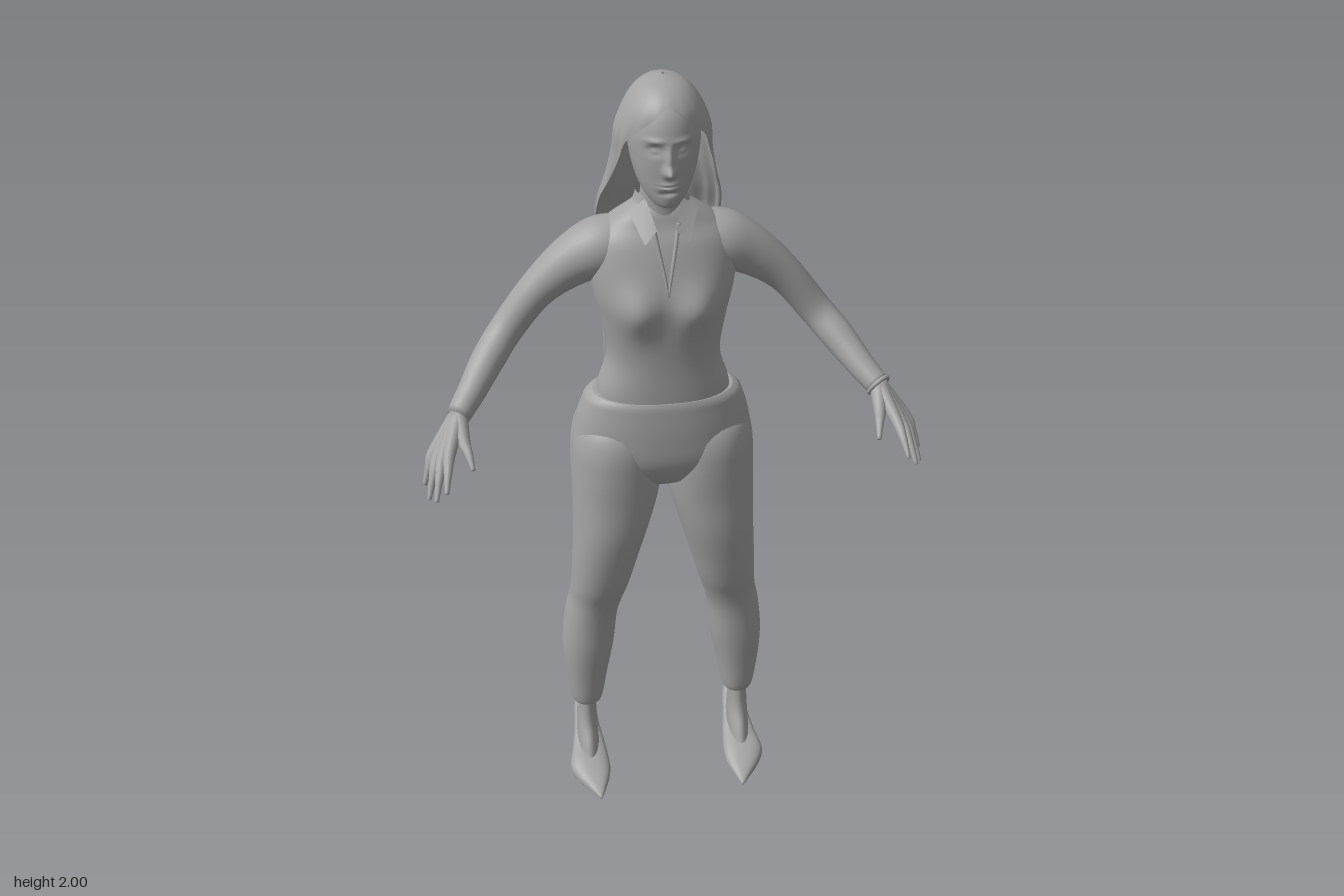
import * as THREE from 'three';

const grey = new THREE.MeshStandardMaterial({ color: 0xa3a3a3, side: THREE.DoubleSide });
grey.name = 'plain grey';

const gauss = (x, y, sx, sy) => Math.exp(-((x / sx) ** 2) - (y / sy) ** 2);

// Skin a list of point rings; closed rings wrap around and get end caps
function skin(rings, closed) {
  const n = rings[0].length, pos = [], idx = [];
  rings.forEach(r => r.forEach(p => pos.push(p.x, p.y, p.z)));
  const cols = closed ? n : n - 1;
  for (let i = 0; i < rings.length - 1; i++) {
    for (let j = 0; j < cols; j++) {
      const a = i * n + j, b = i * n + (j + 1) % n;
      idx.push(a, a + n, b, b, a + n, b + n);
    }
  }
  if (closed) {
    [0, rings.length - 1].forEach((i, end) => {
      const c = new THREE.Vector3();
      rings[i].forEach(p => c.addScaledVector(p, 1 / n));
      const k = pos.length / 3;
      pos.push(c.x, c.y, c.z);
      for (let j = 0; j < n; j++) {
        const a = i * n + j, b = i * n + (j + 1) % n;
        if (end) idx.push(k, b, a); else idx.push(k, a, b);
      }
    });
  }
  const g = new THREE.BufferGeometry();
  g.setAttribute('position', new THREE.Float32BufferAttribute(pos, 3));
  g.setIndex(idx);
  g.computeVertexNormals();
  return g;
}

// Smoothly resample rows of five numbers
function resample(rows, steps) {
  const curve = (a, b, c) => new THREE.CatmullRomCurve3(
    rows.map(r => new THREE.Vector3(r[a], r[b], r[c])), false, 'catmullrom', 0.5);
  const p = curve(0, 1, 2), q = curve(3, 4, 4), out = [];
  for (let i = 0; i <= steps; i++) {
    const u = p.getPoint(i / steps), v = q.getPoint(i / steps);
    out.push([u.x, u.y, u.z, v.x, v.y]);
  }
  return out;
}

// Upright loft, rows ascending: [y, xMin, xMax, zFront, zBack]
function loft(rows, { n = 40, steps = rows.length * 5, power = 2, bump } = {}) {
  const e = 2 / power, sp = v => Math.sign(v) * Math.abs(v) ** e;
  return skin(resample(rows, steps).map(([y, x0, x1, zf, zb]) =>
    Array.from({ length: n }, (_, j) => {
      const t = j / n * Math.PI * 2;
      const v = new THREE.Vector3((x0 + x1) / 2 + (x1 - x0) / 2 * sp(Math.cos(t)), y,
        (zf + zb) / 2 + (zf - zb) / 2 * sp(Math.sin(t)));
      if (bump && Math.sin(t) > 0) bump(v, Math.sin(t));
      return v;
    })), true);
}

// Round limb through points [x, y, z, radius], s mirrors x
function limb(points, s = 1, n = 12, steps = points.length * 5) {
  const curve = new THREE.CatmullRomCurve3(points.map(p => new THREE.Vector3(p[0] * s, p[1], p[2])),
    false, 'catmullrom', 0.5);
  const rad = new THREE.CatmullRomCurve3(points.map(p => new THREE.Vector3(p[3], 0, 0)), false, 'catmullrom', 0.5);
  let normal = new THREE.Vector3(0, 0, 1);
  const rings = [];
  for (let i = 0; i <= steps; i++) {
    const c = curve.getPoint(i / steps), T = curve.getTangent(i / steps), r = rad.getPoint(i / steps).x;
    normal = normal.clone().addScaledVector(T, -normal.dot(T)).normalize();
    const B = T.clone().cross(normal);
    rings.push(Array.from({ length: n }, (_, j) => {
      const t = j / n * Math.PI * 2;
      return c.clone().addScaledVector(normal, r * Math.cos(t)).addScaledVector(B, -r * Math.sin(t));
    }));
  }
  return skin(rings, true);
}

export function createModel() {
  const model = new THREE.Group();
  model.name = 'standingWoman';
  const add = (name, geo, parent = model) => {
    const m = new THREE.Mesh(geo, grey);
    m.name = name;
    parent.add(m);
    return m;
  };
  const sym = rows => rows.map(([y, rx, zf, zb]) => [y, -rx, rx, zf, zb]);

  // Shirt with bust
  add('shirt', loft(sym([
    [1.18, 0.165, 0.025, -0.175], [1.22, 0.16, 0.025, -0.168], [1.3, 0.138, 0.025, -0.165],
    [1.4, 0.152, 0.03, -0.175], [1.47, 0.168, 0.03, -0.185], [1.54, 0.178, 0.015, -0.19],
    [1.6, 0.168, -0.005, -0.185], [1.64, 0.13, -0.025, -0.17], [1.67, 0.09, -0.035, -0.15],
    [1.69, 0.06, -0.045, -0.14]]), {
    n: 64, power: 2.3,
    bump: (v, f) => { v.z += f * 0.03 * gauss(Math.abs(v.x) - 0.078, v.y - 1.45, 0.055, 0.06); },
  }));

  // Neck and face
  add('neck', loft(sym([[1.62, 0.06, -0.03, -0.16], [1.68, 0.053, -0.035, -0.145],
    [1.73, 0.05, -0.03, -0.14], [1.79, 0.05, -0.03, -0.14]])));
  add('head', loft(sym([
    [1.716, 0.018, 0.026, -0.02], [1.724, 0.034, 0.035, -0.05], [1.745, 0.052, 0.04, -0.09],
    [1.78, 0.068, 0.042, -0.12], [1.83, 0.08, 0.044, -0.145], [1.88, 0.084, 0.043, -0.155],
    [1.93, 0.075, 0.028, -0.15], [1.97, 0.045, -0.005, -0.12]]), {
    n: 120, steps: 110,
    bump: (v, f) => {
      const x = Math.abs(v.x), y = v.y;
      v.z += f * (0.026 * gauss(x, y - 1.812, 0.012, 0.013) + 0.013 * gauss(x, y - 1.84, 0.009, 0.026)
        - 0.011 * gauss(x - 0.033, y - 1.86, 0.019, 0.012) + 0.006 * gauss(x - 0.033, y - 1.858, 0.011, 0.006)
        + 0.005 * gauss(x - 0.033, y - 1.882, 0.022, 0.006)
        + 0.009 * gauss(x, y - 1.775, 0.021, 0.01) - 0.007 * gauss(x, y - 1.776, 0.02, 0.0025)
        - 0.006 * gauss(x, y - 1.757, 0.02, 0.006));
    },
  }));

  // Long hair, open at the face: [y, centre z, half width, depth, wrap angle]
  const hair = resample([
    [1.15, -0.2, 0.13, 0.032, 2], [1.3, -0.2, 0.132, 0.035, 2], [1.5, -0.2, 0.14, 0.035, 1.9],
    [1.6, -0.175, 0.15, 0.055, 1.8], [1.68, -0.13, 0.145, 0.08, 1.75], [1.75, -0.1, 0.128, 0.1, 1.85],
    [1.82, -0.08, 0.115, 0.11, 2], [1.88, -0.07, 0.11, 0.112, 2.25], [1.93, -0.065, 0.092, 0.108, 2.75],
    [1.965, -0.065, 0.07, 0.088, Math.PI], [1.988, -0.066, 0.042, 0.055, Math.PI],
    [2, -0.068, 0.003, 0.003, Math.PI]], 70);
  add('hair', skin(hair.map(([y, cz, rx, rz, wrap]) => Array.from({ length: 81 }, (_, j) => {
    const t = -Math.min(wrap, Math.PI) * (j / 40 - 1);
    const k = 1 + 0.015 * Math.sin(t * 17) * Math.min(1, (2 - y) * 5);
    return new THREE.Vector3(rx * k * Math.sin(t), y, cz - rz * k * Math.cos(t));
  })), false));

  // Hips
  add('hips', loft(sym([
    [0.93, 0.06, -0.03, -0.13], [0.96, 0.15, 0.005, -0.17], [1.02, 0.222, 0.033, -0.2],
    [1.1, 0.218, 0.036, -0.213], [1.165, 0.2, 0.032, -0.197], [1.185, 0.19, 0.03, -0.188],
    [1.198, 0.172, 0.026, -0.175]]), { n: 56, power: 2.2 }));

  for (const s of [1, -1]) {
    const side = new THREE.Group();
    side.name = s > 0 ? 'leftSide' : 'rightSide';
    model.add(side);
    const flip = rows => s > 0 ? rows : rows.map(([y, a, b, f, k]) => [y, -b, -a, f, k]);

    // Trouser leg
    add('trouserLeg', loft(flip([
      [0.198, 0.178, 0.238, -0.065, -0.14], [0.215, 0.166, 0.252, -0.05, -0.152],
      [0.3, 0.15, 0.265, -0.04, -0.175], [0.4, 0.132, 0.27, -0.03, -0.181],
      [0.5, 0.121, 0.26, -0.025, -0.18], [0.56, 0.107, 0.248, -0.015, -0.168],
      [0.62, 0.09, 0.242, 0.004, -0.155], [0.7, 0.069, 0.238, 0.02, -0.16],
      [0.8, 0.04, 0.233, 0.034, -0.175], [0.9, 0.012, 0.232, 0.035, -0.2],
      [0.98, 0.001, 0.232, 0.037, -0.227], [1.05, 0.002, 0.228, 0.034, -0.234],
      [1.1, 0.016, 0.212, 0.018, -0.225], [1.14, 0.06, 0.17, -0.02, -0.19]]), { power: 2.15 }));

    // Ankle and high-heeled shoe
    add('ankle', loft(flip([
      [0.04, 0.182, 0.24, 0.01, -0.155], [0.09, 0.182, 0.24, -0.015, -0.163],
      [0.14, 0.184, 0.238, -0.045, -0.15], [0.2, 0.185, 0.235, -0.055, -0.135],
      [0.25, 0.185, 0.235, -0.055, -0.135]]), { n: 28 }));
    add('shoe', loft(flip([
      [-0.178, 0.198, 0.226, -0.085, -0.13], [-0.168, 0.182, 0.24, -0.065, -0.143],
      [-0.12, 0.176, 0.245, -0.048, -0.1], [-0.06, 0.166, 0.256, -0.024, -0.075],
      [0, 0.16, 0.268, -0.003, -0.06], [0.04, 0.165, 0.252, -0.002, -0.045],
      [0.08, 0.18, 0.222, -0.003, -0.028], [0.108, 0.193, 0.199, -0.006, -0.013]]),
    { n: 32, power: 2.5 }).rotateX(Math.PI / 2));
    add('shoeHeel', limb([[0.212, 0.09, -0.145, 0.024], [0.212, 0.055, -0.158, 0.015],
      [0.212, 0.025, -0.163, 0.008], [0.212, 0, -0.165, 0.007]], s));

    // Sleeve
    add('sleeve', limb([[0.09, 1.585, -0.1, 0.065], [0.15, 1.568, -0.1, 0.073], [0.22, 1.533, -0.1, 0.06],
      [0.3, 1.468, -0.095, 0.045], [0.375, 1.375, -0.085, 0.041], [0.425, 1.32, -0.04, 0.04],
      [0.47, 1.27, 0.02, 0.034], [0.506, 1.235, 0.068, 0.029]], s, 28));

    // Hand: each finger runs from the wrist through its knuckle
    const hand = new THREE.Group();
    hand.name = 'hand';
    side.add(hand);
    const fingers = [
      ['indexFinger', [0.532, 1.187, 0.15], [0.546, 1.13, 0.238]],
      ['middleFinger', [0.548, 1.174, 0.14], [0.571, 1.1, 0.222]],
      ['ringFinger', [0.56, 1.166, 0.125], [0.588, 1.086, 0.188]],
      ['littleFinger', [0.568, 1.166, 0.106], [0.596, 1.098, 0.142]],
      ['thumb', [0.497, 1.2, 0.13], [0.481, 1.165, 0.2]]];
    for (const [name, k, t] of fingers) {
      const mid = k.map((v, i) => (v + t[i]) / 2 + (i === 1 ? 0.007 : 0));
      add(name, limb([[0.505, 1.237, 0.066, 0.022], [...k, 0.015], [...mid, 0.0105], [...t, 0.005]], s, 10), hand);
    }

    // Collar flap and neckline edge
    const flap = [[0.042, 1.705, -0.06], [0.08, 1.672, -0.055], [0.052, 1.617, 0.008], [0.022, 1.645, -0.008]]
      .map(([x, y, z]) => new THREE.Vector3(x * s, y, z));
    add('collarFlap', skin(s > 0 ? [[flap[0], flap[1]], [flap[3], flap[2]]]
      : [[flap[1], flap[0]], [flap[2], flap[3]]], false));
    add('necklineEdge', limb([[0.03, 1.655, -0.022, 0.005], [0.02, 1.6, -0.002, 0.005],
      [0.008, 1.54, 0.018, 0.004], [0, 1.49, 0.03, 0.002]], s, 8));
  }

  // Wristband on the left arm
  const band = add('wristband', new THREE.TorusGeometry(0.028, 0.006, 8, 28));
  band.position.set(0.506, 1.235, 0.068);
  band.quaternion.setFromUnitVectors(new THREE.Vector3(0, 0, 1), new THREE.Vector3(0.5, -0.5, 0.7).normalize());

  // Side tails of the collar behind the neck
  const collar = resample([[1.655, -0.1, 0.088, 0.075, 2.3], [1.685, -0.098, 0.068, 0.062, 2.3],
    [1.71, -0.098, 0.06, 0.055, 2.3]], 8);
  add('collarBand', skin(collar.map(([y, cz, rx, rz, wrap]) => Array.from({ length: 41 }, (_, j) => {
    const t = -wrap * (j / 20 - 1);
    return new THREE.Vector3(rx * Math.sin(t), y, cz - rz * Math.cos(t));
  })), false));

  return model;
}
